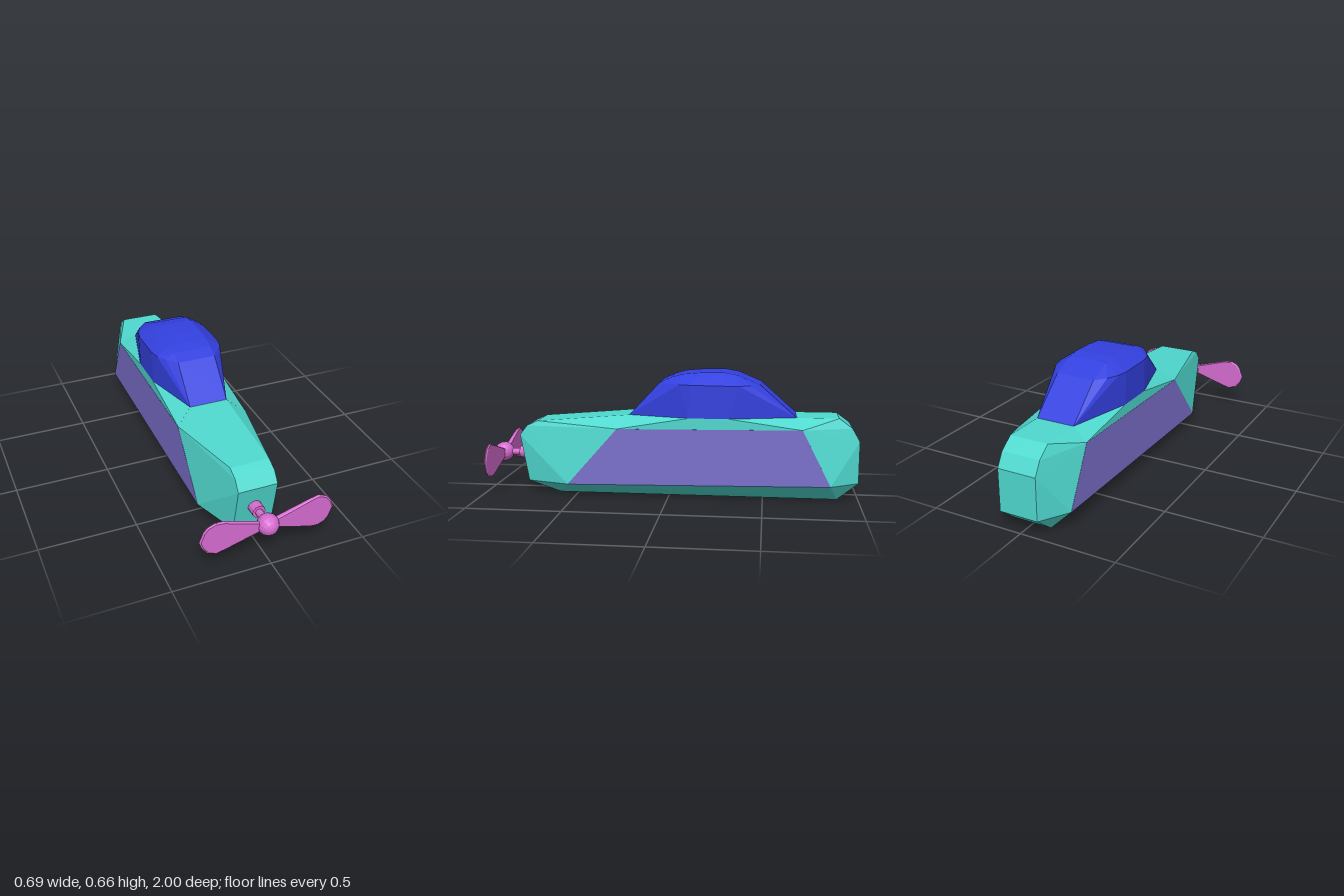
import * as THREE from 'three';
import { ConvexGeometry } from 'three/addons/geometries/ConvexGeometry.js';

const paint = (color) => new THREE.MeshStandardMaterial({ color, flatShading: true });
const teal = paint(0x4fd8ce), blue = paint(0x3340de), violet = paint(0x7b70cc), pink = paint(0xd66cd0);

const CORE = 0.1025, SIDE = 0.191; // half widths of the spine and the outer flanks

// Faceted solid wrapped around a list of [x, y, z] points
function hull(name, points, material) {
  const geometry = new ConvexGeometry(points.map((p) => new THREE.Vector3(...p)));
  const mesh = new THREE.Mesh(geometry, material);
  mesh.name = name;
  return mesh;
}

// Mirror a [z, y] profile to both sides at half width x
const both = (x, profile) => profile.flatMap(([z, y]) => [[x, y, z], [-x, y, z]]);

function cylinder(name, radius, z0, z1, sides) {
  const geometry = new THREE.CylinderGeometry(radius, radius, z1 - z0, sides).rotateX(Math.PI / 2);
  const mesh = new THREE.Mesh(geometry, pink);
  mesh.name = name;
  mesh.position.set(0, 0, (z0 + z1) / 2);
  return mesh;
}

export function createModel() {
  const model = new THREE.Group();
  model.name = 'propellerCar';
  const car = new THREE.Group();
  car.name = 'carBody';
  car.position.x = 0.0055;
  model.add(car);

  // Body: narrow spine profile wrapped together with wider flank panels
  const spine = [
    [0.82, 0.315], [0.78, 0.367], [0.72, 0.394], [0.21, 0.437], [-0.89, 0.437], [-0.96, 0.385],
    [-1, 0.315], [-1, 0.092], [-0.89, 0.003], [0.6, 0.003], [0.775, 0.062],
  ];
  const flank = [[0.54, 0.067], [0.27, 0.373], [-0.7, 0.385], [-0.85, 0.09]];
  car.add(hull('body', [...both(CORE, spine), ...both(SIDE, flank)], teal));

  // Shoulder that widens the deck under the canopy
  const deck = [
    ...both(CORE, [[0.215, 0.437], [-0.67, 0.437]]),
    ...both(SIDE, [[-0.11, 0.437], [-0.32, 0.437]]),
  ];
  car.add(hull('canopyShoulder', [...deck, ...both(SIDE, [flank[1], flank[2]])], teal));

  // Flank panels
  for (const s of [1, -1]) {
    const panel = flank.flatMap(([z, y]) => [[s * (SIDE + 0.001), y, z], [s * 0.17, y, z]]);
    car.add(hull(s > 0 ? 'leftPanel' : 'rightPanel', panel, violet));
  }

  // Canopy: curved roof over a bulging waist
  const roof = [
    [0.05, 0.613], [-0.01, 0.641], [-0.07, 0.658], [-0.17, 0.667], [-0.29, 0.668], [-0.36, 0.656], [-0.48, 0.605],
  ];
  car.add(hull('canopy', [
    ...deck,
    ...both(CORE, roof),
    ...both(0.15, [[-0.01, 0.612], [-0.43, 0.606]]),
    ...both(0.18, [[-0.06, 0.611], [-0.37, 0.607]]),
    ...both(SIDE, [[-0.12, 0.61], [-0.31, 0.608]]),
  ], blue));

  // Propeller with shaft, collar and hub
  const propeller = new THREE.Group();
  propeller.name = 'propeller';
  propeller.position.set(0, 0.198, 0);
  model.add(propeller);
  propeller.add(cylinder('collar', 0.034, 0.74, 0.85, 12));
  propeller.add(cylinder('shaft', 0.019, 0.84, 0.945, 12));
  const hub = new THREE.Mesh(new THREE.SphereGeometry(0.054, 14, 10).rotateX(Math.PI / 2), pink);
  hub.name = 'hub';
  hub.position.z = 0.945;
  propeller.add(hub);

  // Blades: lens-shaped paddles, the second turned half way round
  const outline = [
    [0.02, 0.018], [0.215, 0.08], [0.265, 0.093], [0.305, 0.077], [0.333, 0.04], [0.346, 0.004],
    [0.325, -0.05], [0.305, -0.073], [0.27, -0.087], [0.225, -0.083], [0.02, -0.018],
  ];
  const layers = [[1, 0.003], [0.94, 0.011]];
  const bladePoints = outline.flatMap(([x, y]) => layers.flatMap(([k, t]) => {
    const px = 0.2 + (x - 0.2) * k;
    const depth = t * (1.25 - px * 1.8);
    return [[px, y * k, depth], [px, y * k, -depth]];
  }));
  for (let i = 0; i < 2; i++) {
    const blade = hull(i ? 'rightBlade' : 'leftBlade', bladePoints, pink);
    blade.position.z = 0.942;
    blade.rotation.z = i * Math.PI;
    propeller.add(blade);
  }
  return model;
}
